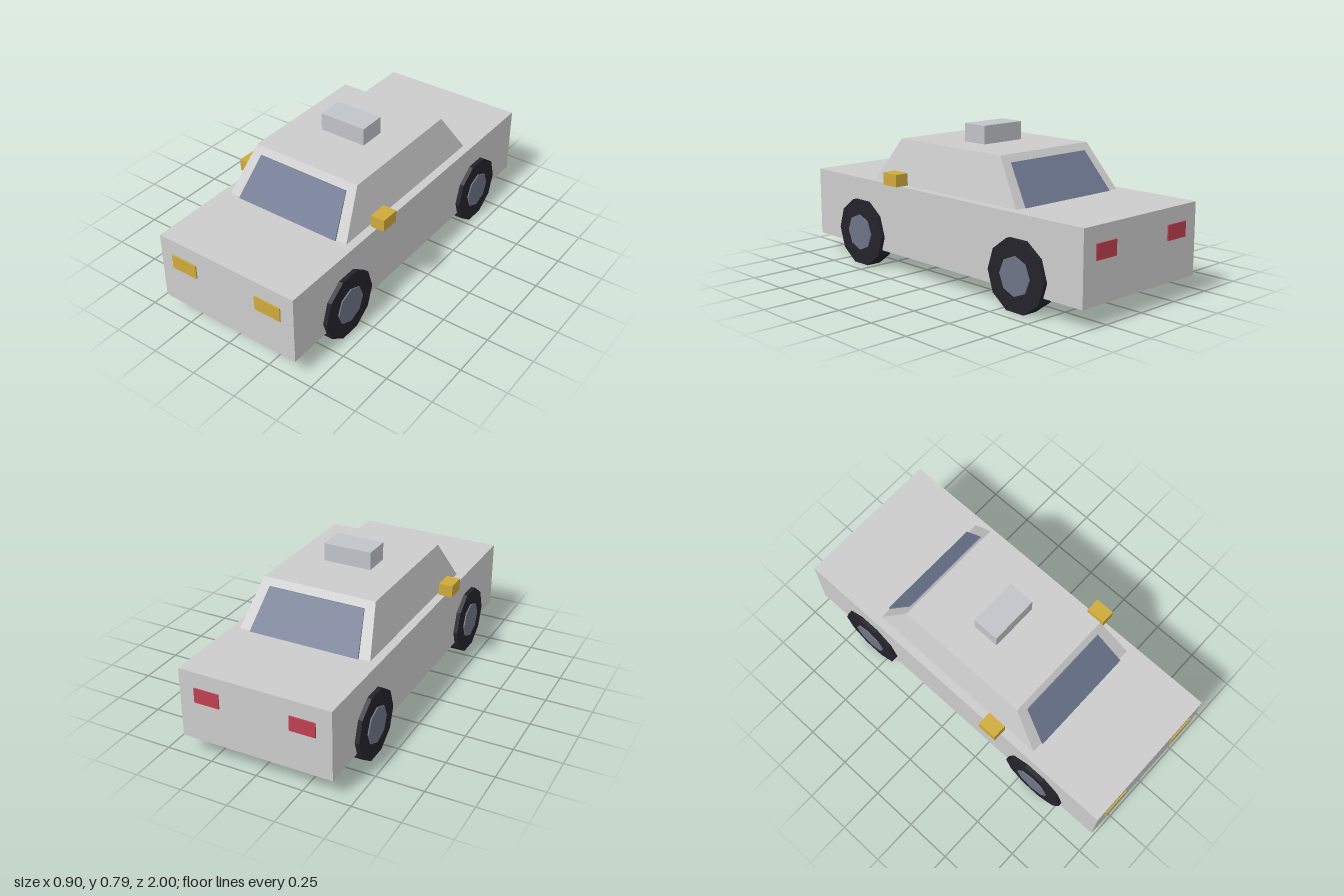
import * as THREE from 'three';

const mat = (color) => new THREE.MeshStandardMaterial({ color, flatShading: true });
const paint = mat(0xcccccc), signGrey = mat(0xc0c3c8), glass = mat(0x6d7790);
const rubber = mat(0x23232a), metal = mat(0x6d7485), amber = mat(0xcfaa3a), red = mat(0xc04050);

export function createModel() {
  const car = new THREE.Group();
  car.name = 'car';

  const add = (name, geometry, material, x, y, z) => {
    const mesh = new THREE.Mesh(geometry, material);
    mesh.name = name;
    mesh.position.set(x, y, z);
    car.add(mesh);
    return mesh;
  };
  const box = (name, material, w, h, d, x, y, z) =>
    add(name, new THREE.BoxGeometry(w, h, d), material, x, y, z);

  // Box whose upper and lower corners are moved to separate half sizes
  const frustum = (name, material, y0, y1, [bx, bz], [tx, tz]) => {
    const geometry = new THREE.BoxGeometry(2, y1 - y0, 2);
    const p = geometry.attributes.position;
    for (let i = 0; i < p.count; i++) {
      const top = p.getY(i) > 0;
      p.setX(i, p.getX(i) * (top ? tx : bx));
      p.setZ(i, p.getZ(i) * (top ? tz : bz));
    }
    geometry.computeVertexNormals();
    return add(name, geometry, material, 0, (y0 + y1) / 2, 0);
  };

  // Body, cabin and roof sign
  box('body', paint, 0.81, 0.37, 1.986, 0, 0.285, 0);
  frustum('cabin', paint, 0.47, 0.7, [0.36, 0.533], [0.308, 0.372]);
  box('roofSign', signGrey, 0.262, 0.096, 0.146, 0, 0.747, 0);

  // One glass block passes through the cabin and shows as both windscreens
  frustum('windscreens', glass, 0.468, 0.665, [0.3, 0.543], [0.262, 0.401]);

  for (const side of [1, -1]) {
    const label = side > 0 ? 'left' : 'right';

    // Lights and wing mirrors
    box(label + 'Headlight', amber, 0.15, 0.077, 0.02, side * 0.255, 0.349, 0.99);
    box(label + 'TailLight', red, 0.135, 0.077, 0.02, side * 0.255, 0.349, -0.99);
    box(label + 'Mirror', amber, 0.076, 0.064, 0.105, side * 0.412, 0.508, 0.3);

    // Wheels with hubcaps
    for (const end of [1, -1]) {
      const wheel = label + (end > 0 ? 'Front' : 'Rear');
      const tyre = new THREE.CylinderGeometry(0.184, 0.184, 0.083, 10).rotateZ(Math.PI / 2);
      const hub = new THREE.CylinderGeometry(0.098, 0.098, 0.09, 8).rotateZ(Math.PI / 2);
      add(wheel + 'Tyre', tyre, rubber, side * 0.3865, 0.175, end * 0.595);
      add(wheel + 'Hub', hub, metal, side * 0.39, 0.176, end * 0.595);
    }
  }
  return car;
}
